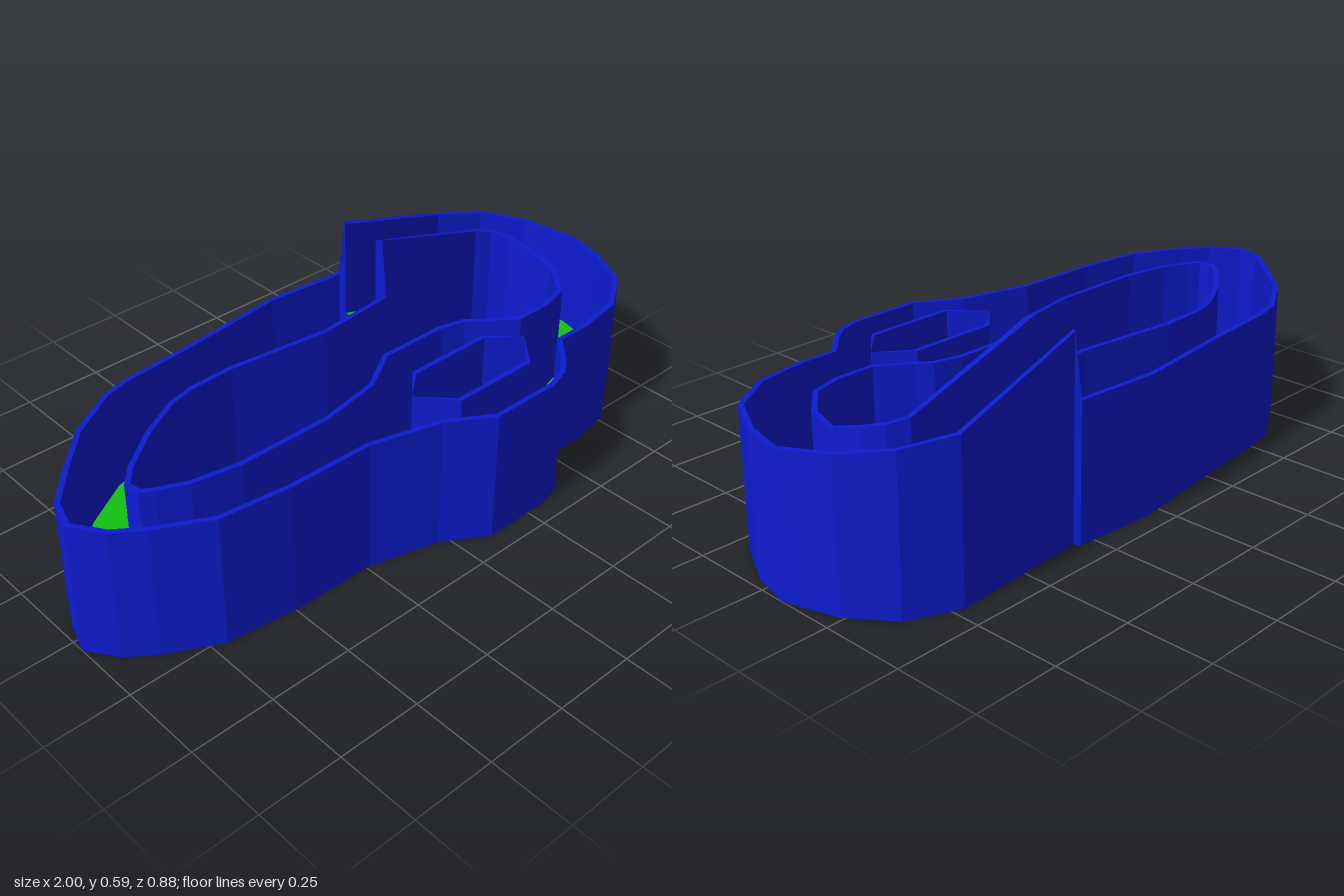
import * as THREE from 'three';

const FLOOR = 0.1, TOP = 0.41, WALL = 0.015;
const BODY_OUT = 24, BODY_IN = 22; // last loop points before the raised gate

// plan outlines as x, z; both run counter-clockwise seen from above
const outer = [
  [0.3, -0.42], [0.04, -0.44], [-0.3, -0.4], [-0.53, -0.38], [-0.61, -0.36], [-0.76, -0.27],
  [-0.88, -0.15], [-0.97, -0.05], [-1, 0.04], [-0.94, 0.13], [-0.86, 0.19], [-0.71, 0.27],
  [-0.5, 0.295], [-0.24, 0.3], [-0.03, 0.355], [0.1, 0.437], [0.32, 0.437], [0.39, 0.415],
  [0.44, 0.375], [0.51, 0.3], [0.62, 0.3], [0.77, 0.275], [0.9, 0.185], [0.97, 0.05],
  [1, -0.08], [0.95, -0.24], [0.86, -0.36], [0.72, -0.425], [0.305, -0.4],
];
const inner = [
  [0.3, -0.21], [0.04, -0.185], [-0.28, -0.22], [-0.42, -0.215], [-0.5, -0.195], [-0.62, -0.13],
  [-0.74, -0.04], [-0.785, 0.01], [-0.78, 0.045], [-0.75, 0.065], [-0.67, 0.1], [-0.53, 0.125],
  [-0.24, 0.125], [-0.05, 0.09], [0.08, 0.01], [0.3, 0.01], [0.38, 0.03], [0.42, 0.065],
  [0.51, 0.13], [0.62, 0.13], [0.71, 0.105], [0.79, 0.01], [0.82, -0.09],
  [0.805, -0.18], [0.775, -0.23], [0.73, -0.255], [0.305, -0.235],
];
const slot = [[-0.005, 0.213], [0.08, 0.303], [0.353, 0.303], [0.445, 0.213], [0.353, 0.143], [0.08, 0.143]];

// extra height of the gate: eases up round the bend, then ramps along the straight
function rise([x, z]) {
  if (x < 0.302 || z > -0.09) return 0;
  if (x < 0.72) return 0.05 + 0.13 * (0.72 - x) / 0.415;
  return 0.05 * Math.atan2(-0.09 - z, x - 0.72) / (Math.PI / 2);
}

// mitred offset to the left of travel
function inset(loop, d) {
  const n = loop.length;
  const normal = (a, b) => {
    const dx = b[0] - a[0], dz = b[1] - a[1], l = Math.hypot(dx, dz);
    return [dz / l, -dx / l];
  };
  return loop.map((p, i) => {
    const m = normal(loop[(i + n - 1) % n], p), k = normal(p, loop[(i + 1) % n]);
    const s = d / Math.max(0.4, 1 + m[0] * k[0] + m[1] * k[1]);
    return [p[0] + (m[0] + k[0]) * s, p[1] + (m[1] + k[1]) * s];
  });
}

const at = ([x, z], y) => [x, y, z];
const quad = (out, a, b, c, d) => out.push(...a, ...b, ...c, ...a, ...c, ...d);

// thin wall: outside face, rim and the face towards the channel
function wall(loop, inside) {
  const out = [], n = loop.length;
  for (let i = 0; i < n; i++) {
    const j = (i + 1) % n, a = loop[i], b = loop[j], c = inside[i], d = inside[j];
    const ra = rise(a), rb = rise(b);
    quad(out, at(a, 0), at(b, 0), at(b, TOP + rb), at(a, TOP + ra));
    quad(out, at(a, TOP + ra), at(b, TOP + rb), at(d, TOP + rb), at(c, TOP + ra));
    quad(out, at(c, TOP + ra), at(d, TOP + rb), at(d, FLOOR + rb), at(c, FLOOR + ra));
  }
  return out;
}

// horizontal or ramped sheet from 3D points, facing up or down
function sheet(contour, holes, up) {
  const flat = (l) => l.map((p) => new THREE.Vector2(p[0], -p[2]));
  const pts = [contour, ...holes].flat(), out = [];
  for (const [i, j, k] of THREE.ShapeUtils.triangulateShape(flat(contour), holes.map(flat))) {
    const [a, b, c] = [pts[i], pts[j], pts[k]];
    const area = (b[0] - a[0]) * (a[2] - c[2]) - (a[2] - b[2]) * (c[0] - a[0]);
    if ((area > 0) === up) out.push(...a, ...b, ...c);
    else out.push(...a, ...c, ...b);
  }
  return out;
}

export function createModel() {
  const group = new THREE.Group();
  const blue = new THREE.MeshStandardMaterial({ color: 0x0d1bd0, flatShading: true });
  const green = new THREE.MeshStandardMaterial({ color: 0x13c010, flatShading: true });
  const add = (name, positions, material) => {
    const g = new THREE.BufferGeometry();
    g.setAttribute('position', new THREE.Float32BufferAttribute(positions, 3));
    g.computeVertexNormals();
    const mesh = new THREE.Mesh(g, material);
    mesh.name = name;
    group.add(mesh);
  };

  // channel-side outlines of the walls
  const outerIn = inset(outer, WALL);
  const innerIn = inset(inner, -WALL);
  innerIn.forEach((p, i) => { if (i === 0) p[0] = 0.3; });
  // the slot rim thins out to nothing at its two tips
  const slotIn = slot.map(([x, z], i) => [x, i % 3 ? z + Math.sign(z - 0.22) * WALL : z]);

  const reversed = (l) => [...l].reverse();
  add('outerWall', wall(outer, outerIn), blue);
  add('innerWall', wall(reversed(inner), reversed(innerIn)), blue);
  add('slotWall', wall(reversed(slot), reversed(slotIn)), blue);

  // C-shaped body and gate, each from the outer run and back along the inner run
  const lift = (pts, base) => pts.map((p, i) => at(p, base[i]));
  const parts = (o, n, yo, yn) => {
    const O = lift(o, yo), N = lift(n, yn);
    return {
      body: [...O.slice(0, BODY_OUT + 1), ...reversed(N.slice(0, BODY_IN + 1))],
      gate: [...O.slice(BODY_OUT), ...reversed(N.slice(BODY_IN))],
    };
  };
  const floorY = (l) => l.map((p) => FLOOR + rise(p));
  const floor = parts(outerIn, innerIn, floorY(outer), floorY(inner));
  add('bodyFloor', sheet(floor.body, [slotIn.map((p) => at(p, FLOOR))], true), green);
  add('gateFloor', sheet(floor.gate, [], true), green);

  // riser where the gate floor stands above the body floor
  const a = outerIn.at(-1), b = innerIn.at(-1), y = FLOOR + rise(outer.at(-1)), riser = [];
  quad(riser, at(a, FLOOR), at(b, FLOOR), at(b, y), at(a, y));
  add('gateEnd', riser, blue);

  // flat underside
  const zero = (l) => l.map(() => 0);
  const base = parts(outer, inner, zero(outer), zero(inner));
  const under = [...sheet(base.body, [slot.map((p) => at(p, 0))], false), ...sheet(base.gate, [], false)];
  add('underside', under, blue);
  return group;
}
